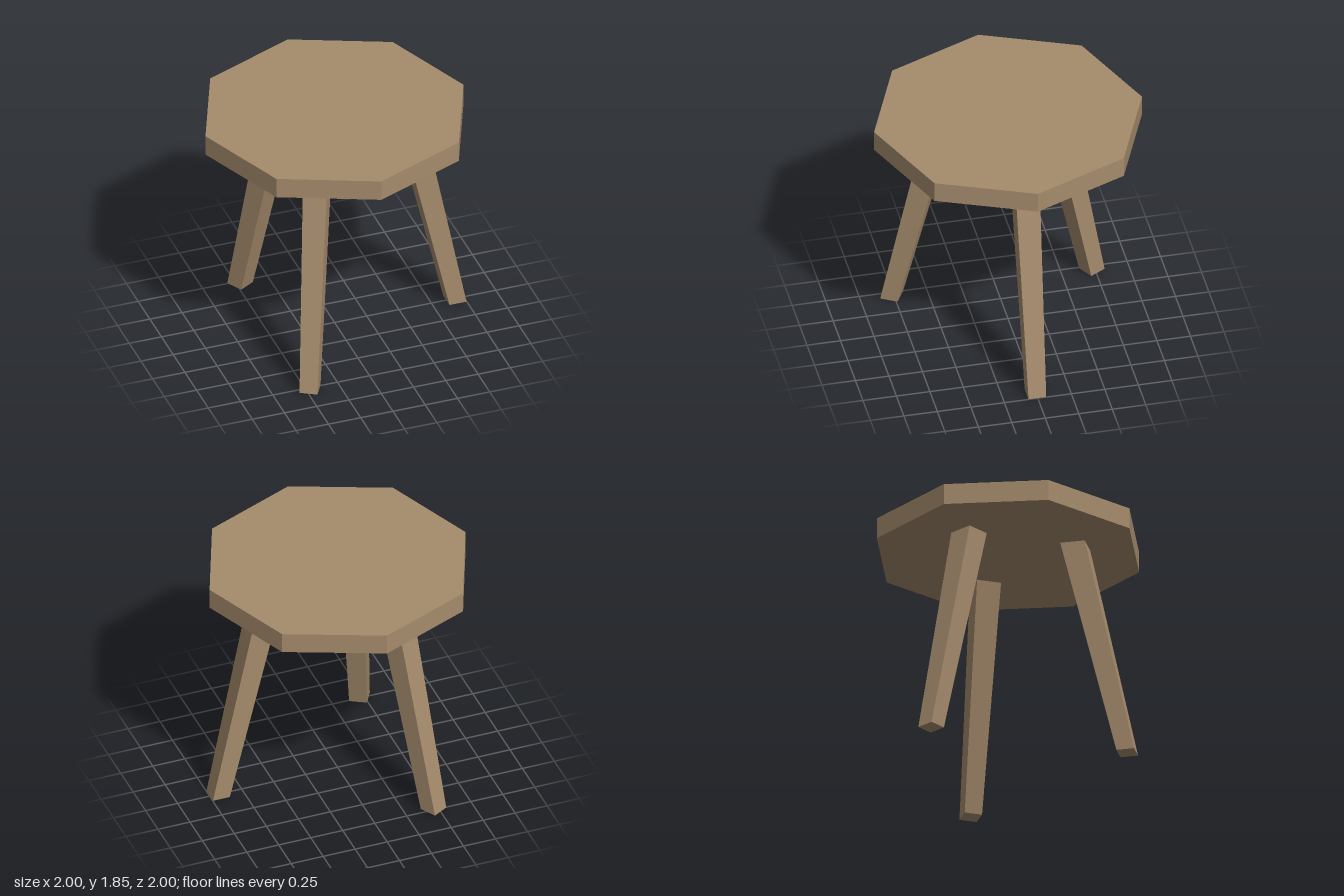
import * as THREE from 'three';

const material = new THREE.MeshStandardMaterial({ color: 0xa58b6c, flatShading: true });
const SEAT_BOTTOM = 1.69, SEAT_TOP = 1.85;

// Tapered, splayed square leg with level ends; foot and head are [x, z] centres.
function makeLeg(name, angle, foot, head) {
  const geometry = new THREE.BoxGeometry(1, 1, 1);
  geometry.rotateY(angle);
  const pos = geometry.attributes.position;
  for (let i = 0; i < pos.count; i++) {
    const atTop = pos.getY(i) > 0;
    const [cx, cz] = atTop ? head : foot;
    const width = atTop ? 0.183 : 0.132;
    pos.setXYZ(i, cx + pos.getX(i) * width, atTop ? SEAT_BOTTOM : 0, cz + pos.getZ(i) * width);
  }
  geometry.computeVertexNormals();
  const leg = new THREE.Mesh(geometry, material);
  leg.name = name;
  return leg;
}

export function createModel() {
  const stool = new THREE.Group();
  stool.name = 'stool';

  // Octagonal seat with corners on the axes
  const seat = new THREE.Mesh(
    new THREE.CylinderGeometry(1, 1, SEAT_TOP - SEAT_BOTTOM, 8), material);
  seat.position.y = (SEAT_TOP + SEAT_BOTTOM) / 2;
  seat.name = 'seat';
  stool.add(seat);

  // Three legs, each turned to face outwards
  const third = Math.PI * 2 / 3;
  stool.add(
    makeLeg('leftLeg', 0, [0.932, 0.003], [0.56, 0]),
    makeLeg('frontRightLeg', -third, [-0.467, 0.765], [-0.285, 0.425]),
    makeLeg('backRightLeg', third, [-0.467, -0.73], [-0.285, -0.385]),
  );
  return stool;
}
